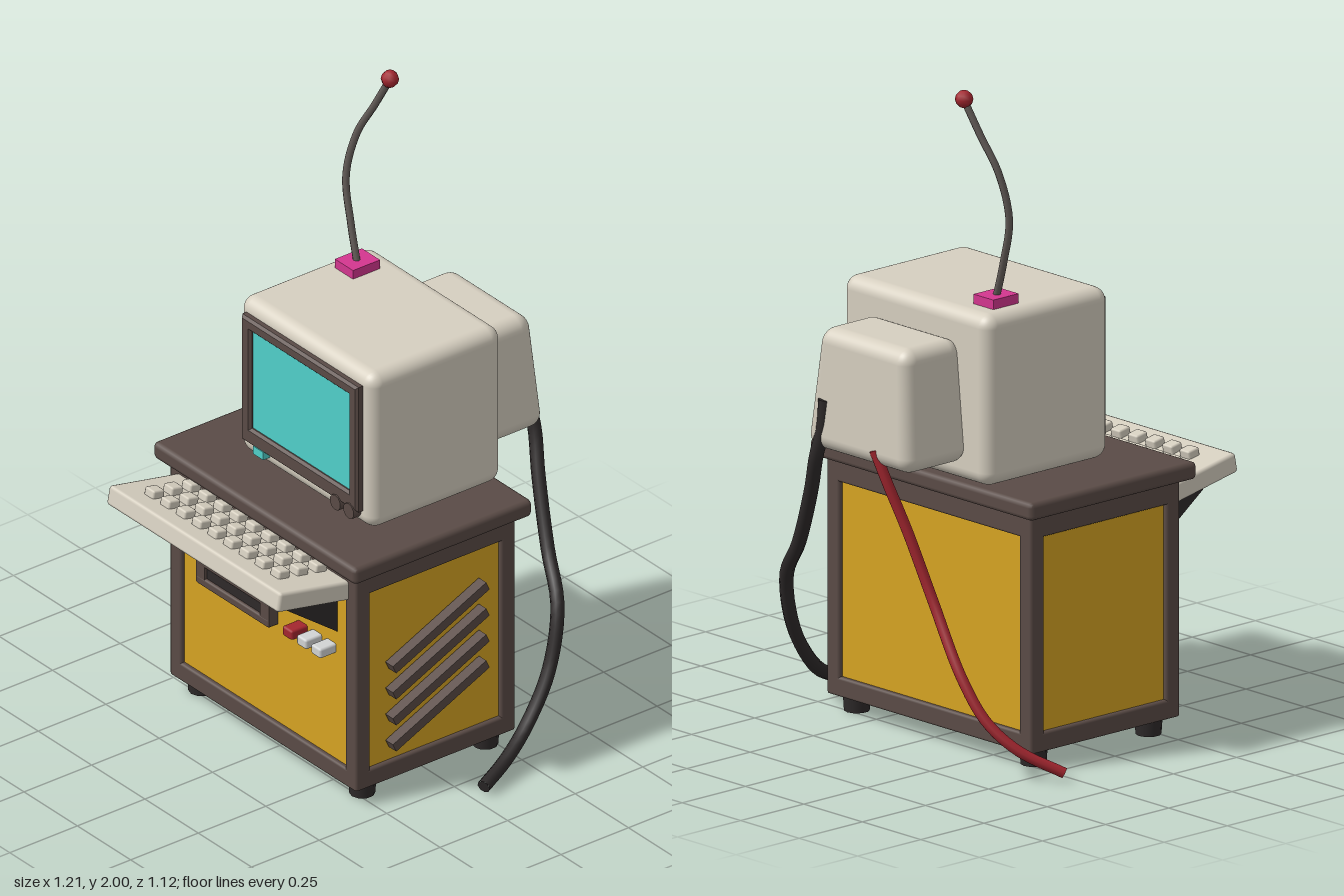
import * as THREE from 'three';
import { RoundedBoxGeometry } from 'three/addons/geometries/RoundedBoxGeometry.js';

const paint = (name, color, flatShading = false) => {
  const m = new THREE.MeshStandardMaterial({ color, flatShading });
  m.name = name;
  return m;
};

export function createModel() {
  const cream = paint('cream plastic', 0xd6cfc0);
  const yellow = paint('yellow panel', 0xd6a422);
  const brown = paint('brown frame', 0x5a4b46);
  const black = paint('black rubber', 0x2e2a2a);
  const cyan = paint('cyan screen', 0x50d0ca);
  const magenta = paint('magenta mount', 0xd4368f);
  const red = paint('red', 0xa3262f);
  const grey = paint('antenna grey', 0x625b57);
  const light = paint('light button', 0xd2d4d4);

  const model = new THREE.Group();
  model.name = 'computerStation';

  const add = (name, geo, mat, parent = model) => {
    const mesh = new THREE.Mesh(geo, mat);
    mesh.name = name;
    parent.add(mesh);
    return mesh;
  };
  // Box given by its extents, with an optional rounded edge
  const box = (name, mat, [x0, x1], [y0, y1], [z0, z1], r = 0, seg = 1, parent = model) => {
    const s = [x1 - x0, y1 - y0, z1 - z0];
    const geo = r ? new RoundedBoxGeometry(...s, seg, r) : new THREE.BoxGeometry(...s);
    const mesh = add(name, geo, mat, parent);
    mesh.position.set((x0 + x1) / 2, (y0 + y1) / 2, (z0 + z1) / 2);
    return mesh;
  };
  const tube = (name, mat, pts, radius, sides = 8) => {
    const curve = new THREE.CatmullRomCurve3(pts.map((p) => new THREE.Vector3(...p)));
    add(name, new THREE.TubeGeometry(curve, 40, radius, sides), mat);
    // End caps
    [0, 1].forEach((t) => {
      const cap = add(name + 'Cap', new THREE.CircleGeometry(radius, sides), mat);
      const out = curve.getTangent(t).multiplyScalar(t ? 1 : -1);
      cap.position.copy(curve.getPoint(t));
      cap.quaternion.setFromUnitVectors(new THREE.Vector3(0, 0, 1), out);
    });
  };

  // Cabinet: yellow body inside a frame of beams
  const X = [-0.455, 0.42], Y = [0.05, 0.77], Z = [-0.29, 0.3], w = 0.053;
  box('cabinetBody', yellow, [X[0] + 0.014, X[1] - 0.014], [0.08, 0.75], [Z[0] + 0.014, Z[1] - 0.014]);
  box('cabinetBottom', brown, [X[0] + 0.01, X[1] - 0.01], [0.055, 0.09], [Z[0] + 0.01, Z[1] - 0.01]);
  const ends = ([a, b]) => [[a, a + w], [b - w, b]];
  for (const x of ends(X)) for (const z of ends(Z)) box('cornerPost', brown, x, Y, z, 0.008);
  for (const y of [[0.05, 0.11], [0.7, 0.77]]) {
    for (const z of ends(Z)) box('crossRail', brown, X, y, z, 0.008);
    for (const x of ends(X)) box('sideRail', brown, x, y, Z, 0.008);
  }
  box('tableTop', brown, [-0.495, 0.455], [0.77, 0.825], [-0.327, 0.332], 0.015);

  // Feet
  for (const x of [-0.395, 0.36]) for (const z of [0.23, -0.225]) {
    add('foot', new THREE.CylinderGeometry(0.042, 0.038, 0.06, 10), black).position.set(x, 0.03, z);
  }

  // Slanted vents on the left side
  for (let i = 0; i < 4; i++) {
    const vent = add('vent', new THREE.BoxGeometry(0.035, 0.03, 0.38), brown);
    vent.position.set(0.428, 0.51 - i * 0.0875, 0.005);
    vent.rotation.x = 0.43;
  }

  // Disk drive and front buttons
  box('driveTop', brown, [-0.305, 0.037], [0.5, 0.525], [0.28, 0.322], 0.006);
  box('driveBottom', brown, [-0.305, 0.037], [0.435, 0.462], [0.28, 0.322], 0.006);
  box('driveEnd', brown, [-0.305, -0.265], [0.44, 0.52], [0.28, 0.321]);
  box('driveEnd', brown, [-0.003, 0.037], [0.44, 0.52], [0.28, 0.321]);
  box('driveSlot', black, [-0.27, 0.002], [0.455, 0.505], [0.28, 0.312]);
  [red, light, light].forEach((mat, i) => {
    const x = 0.152 + i * 0.067;
    box('button', mat, [x - 0.023, x + 0.023], [0.464, 0.496], [0.28, 0.345], 0.007);
  });

  // Keyboard tray, raised toward its front
  const keyboard = new THREE.Group();
  keyboard.name = 'keyboard';
  keyboard.position.set(-0.018, 0.733, 0.41);
  keyboard.rotation.x = -0.195;
  model.add(keyboard);
  box('keyboardTray', cream, [-0.403, 0.403], [-0.031, 0.031], [-0.15, 0.15], 0.01, 1, keyboard);
  for (let row = 0; row < 3; row++) for (let col = 0; col < 9; col++) {
    const x = -0.295 + col * 0.0737, z = 0.067 - row * 0.07;
    box('key', cream, [x - 0.022, x + 0.022], [0.025, 0.055], [z - 0.021, z + 0.021], 0.006, 1, keyboard);
  }

  // Triangular brackets under the keyboard
  const tri = new THREE.Shape([[0, 0], [0, -0.14], [0.19, 0]].map((p) => new THREE.Vector2(...p)));
  for (const x of [-0.36, 0.273]) {
    const bracket = add('bracket', new THREE.ExtrudeGeometry(tri, { depth: 0.047, bevelEnabled: false }), black);
    bracket.rotation.y = -Math.PI / 2;
    bracket.position.set(x + 0.047, 0.683, 0.29);
  }

  // Monitor shell
  box('monitorShell', cream, [-0.305, 0.323], [0.828, 1.347], [-0.323, 0.165], 0.042, 4);

  // Rear housing, narrower toward the top
  const rear = new RoundedBoxGeometry(0.45, 0.365, 0.25, 4, 0.045);
  const p = rear.attributes.position;
  for (let i = 0; i < p.count; i++) {
    const t = p.getY(i) / 0.365 + 0.5;
    p.setX(i, p.getX(i) * (1 - 0.17 * t));
    if (p.getZ(i) < 0) p.setZ(i, p.getZ(i) + 0.025 * t);
  }
  add('rearHousing', rear, cream).position.set(0.01, 1.073, -0.43);

  // Screen bezel with a rectangular opening
  const rect = (path, x0, x1, y0, y1) =>
    path.moveTo(x0, y0).lineTo(x1, y0).lineTo(x1, y1).lineTo(x0, y1).closePath();
  const bezel = new THREE.Shape();
  const hole = new THREE.Path();
  rect(bezel, -0.257, 0.272, 0.893, 1.297);
  rect(hole, -0.228, 0.248, 0.932, 1.273);
  bezel.holes.push(hole);
  add('bezel', new THREE.ExtrudeGeometry(bezel, {
    depth: 0.03, bevelThickness: 0.008, bevelSize: 0.008, bevelSegments: 1,
  }), brown).position.z = 0.15;
  box('screen', cyan, [-0.235, 0.255], [0.925, 1.28], [0.168, 0.176]);

  // Monitor controls
  box('powerLight', cyan, [-0.203, -0.155], [0.866, 0.892], [0.155, 0.19]);
  for (const x of [0.185, 0.248]) {
    const knob = add('knob', new THREE.CylinderGeometry(0.025, 0.025, 0.045, 10), brown);
    knob.rotation.x = Math.PI / 2;
    knob.position.set(x, 0.88, 0.17);
  }

  // Antenna
  box('antennaMount', magenta, [-0.25, -0.165], [1.335, 1.376], [-0.25, -0.15]);
  tube('antennaRod', grey, [
    [-0.205, 1.36, -0.198], [-0.245, 1.48, -0.205], [-0.28, 1.62, -0.215],
    [-0.262, 1.76, -0.24], [-0.21, 1.87, -0.265], [-0.163, 1.97, -0.285],
  ], 0.011);
  add('antennaTip', new THREE.SphereGeometry(0.027, 8, 6), red).position.set(-0.163, 1.973, -0.285);

  // Cables from the rear housing to the floor
  tube('blackCable', black, [
    [0.16, 1.045, -0.535], [0.168, 0.96, -0.535], [0.195, 0.87, -0.538], [0.245, 0.75, -0.512],
    [0.345, 0.56, -0.468], [0.445, 0.43, -0.425], [0.485, 0.25, -0.36], [0.508, 0.115, -0.26],
    [0.545, 0.055, -0.155], [0.587, 0.025, -0.04],
  ], 0.021);
  tube('redCable', red, [
    [-0.06, 0.94, -0.544], [-0.09, 0.85, -0.525], [-0.14, 0.7, -0.488], [-0.215, 0.5, -0.457],
    [-0.34, 0.29, -0.457], [-0.42, 0.17, -0.433], [-0.5, 0.09, -0.38], [-0.592, 0.025, -0.285],
  ], 0.016);

  return model;
}
